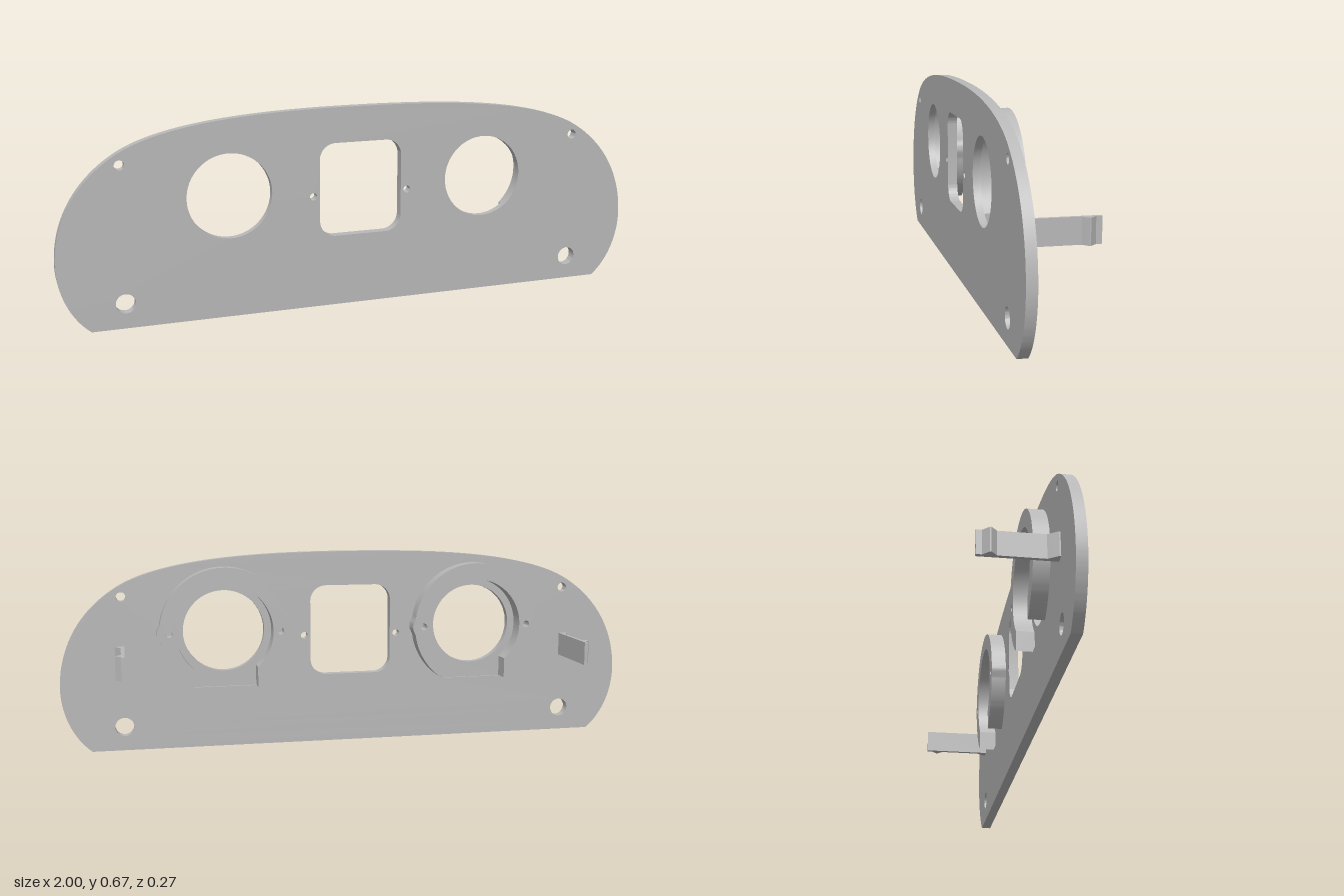
import * as THREE from 'three';
import { toCreasedNormals } from 'three/addons/utils/BufferGeometryUtils.js';

const EYE_X = 0.445, EYE_Y = 0.405;       // centre of each round opening
const R_HOLE = 0.14, R_SEAT = 0.165, R_OUT = 0.222, NOTCH = 0.11;

const circle = (x, y, r) => new THREE.Path().absarc(x, y, r, 0, Math.PI * 2, true);

// Points along an arc whose radius is a function of the angle
function arcPoints(radius, from, to, n) {
  return Array.from({ length: n + 1 }, (_, i) => {
    const a = from + (to - from) * i / n, r = radius(a);
    return new THREE.Vector2(r * Math.cos(a), r * Math.sin(a));
  });
}

// Arc that runs round from one side of the bottom notch to the other
function openArc(radius, nominal, n) {
  const half = Math.asin(NOTCH / nominal);
  return arcPoints(radius, -Math.PI / 2 + half, Math.PI * 1.5 - half, n);
}

// Outer radius of a mount, swelling round the two side screw holes
function mountRadius(a) {
  const d = 0.19, b = 0.04, s = d * Math.sin(a);
  if (Math.abs(s) >= b) return R_OUT;
  return Math.max(R_OUT, d * Math.abs(Math.cos(a)) + Math.sqrt(b * b - s * s));
}

function extrude(shape, z0, z1) {
  const g = new THREE.ExtrudeGeometry(shape, { depth: z1 - z0, bevelEnabled: false, curveSegments: 32 });
  g.translate(0, 0, z0);
  return toCreasedNormals(g, 0.5);
}

function plateOutline() {
  const s = new THREE.Shape();
  s.moveTo(-0.9, 0);
  s.lineTo(0.9, 0);
  s.bezierCurveTo(0.965, 0.05, 1, 0.14, 1, 0.22);
  s.bezierCurveTo(1, 0.36, 0.93, 0.49, 0.79, 0.57);
  s.bezierCurveTo(0.62, 0.665, 0.25, 0.673, 0, 0.673);
  s.bezierCurveTo(-0.25, 0.673, -0.62, 0.665, -0.79, 0.57);
  s.bezierCurveTo(-0.93, 0.49, -1, 0.36, -1, 0.22);
  s.bezierCurveTo(-1, 0.14, -0.965, 0.05, -0.9, 0);

  // Rounded square window
  const w = 0.143, b = 0.24, t = 0.555, r = 0.055, win = new THREE.Path();
  win.absarc(w - r, b + r, r, -Math.PI / 2, 0, false);
  win.absarc(w - r, t - r, r, 0, Math.PI / 2, false);
  win.absarc(-w + r, t - r, r, Math.PI / 2, Math.PI, false);
  win.absarc(-w + r, b + r, r, Math.PI, Math.PI * 1.5, false);
  win.closePath();
  s.holes.push(win);

  // Screw holes
  for (const m of [-1, 1]) {
    s.holes.push(circle(m * 0.165, 0.38, 0.012));
    s.holes.push(circle(m * 0.79, 0.53, 0.016));
    s.holes.push(circle(m * 0.79, 0.082, 0.032));
  }
  return s;
}

export function createModel() {
  const model = new THREE.Group();
  const grey = new THREE.MeshStandardMaterial({ color: 0xb8b8b8 });
  grey.name = 'grey plastic';
  const add = (name, geometry) => {
    const mesh = new THREE.Mesh(geometry, grey);
    mesh.name = name;
    model.add(mesh);
    return mesh;
  };

  // Face plate: front layer with round openings, back layer with keyhole recesses
  const front = plateOutline(), back = plateOutline();
  const keyhole = [
    new THREE.Vector2(-NOTCH, -0.195), new THREE.Vector2(NOTCH, -0.195),
    ...openArc(() => R_SEAT, R_SEAT, 56),
  ];
  for (const m of [-1, 1]) {
    front.holes.push(circle(m * EYE_X, EYE_Y, R_HOLE));
    back.holes.push(new THREE.Path(keyhole.map(p => new THREE.Vector2(p.x + m * EYE_X, p.y + EYE_Y))));
  }
  add('facePlateFront', extrude(front, 0.11, 0.135));
  add('facePlateBack', extrude(back, 0.102, 0.11));

  // Round mounts on the back, open at the bottom
  const mount = new THREE.Shape([
    ...openArc(mountRadius, R_OUT, 120),
    ...openArc(() => R_SEAT, R_SEAT, 56).reverse(),
  ]);
  for (const m of [-1, 1]) mount.holes.push(circle(m * 0.19, 0, 0.012));
  const mountGeometry = extrude(mount, 0.05, 0.102);
  for (const m of [-1, 1]) {
    add(m > 0 ? 'leftMount' : 'rightMount', mountGeometry).position.set(m * EYE_X, EYE_Y, 0);
  }

  // Snap clips: side profile (x, z) with flared foot and outward hook
  const profile = [[0.783, 0.102], [0.783, -0.135], [0.795, -0.135], [0.795, -0.117],
    [0.814, -0.097], [0.814, -0.093], [0.795, -0.075], [0.795, 0.067], [0.815, 0.098], [0.815, 0.102]];
  for (const m of [-1, 1]) {
    const shape = new THREE.Shape(profile.map(([x, z]) => new THREE.Vector2(m * x, -z)));
    const g = new THREE.ExtrudeGeometry(shape, { depth: 0.08, bevelEnabled: false });
    g.rotateX(-Math.PI / 2);
    g.translate(0, 0.281, 0);
    add(m > 0 ? 'leftClip' : 'rightClip', g);
  }
  return model;
}
